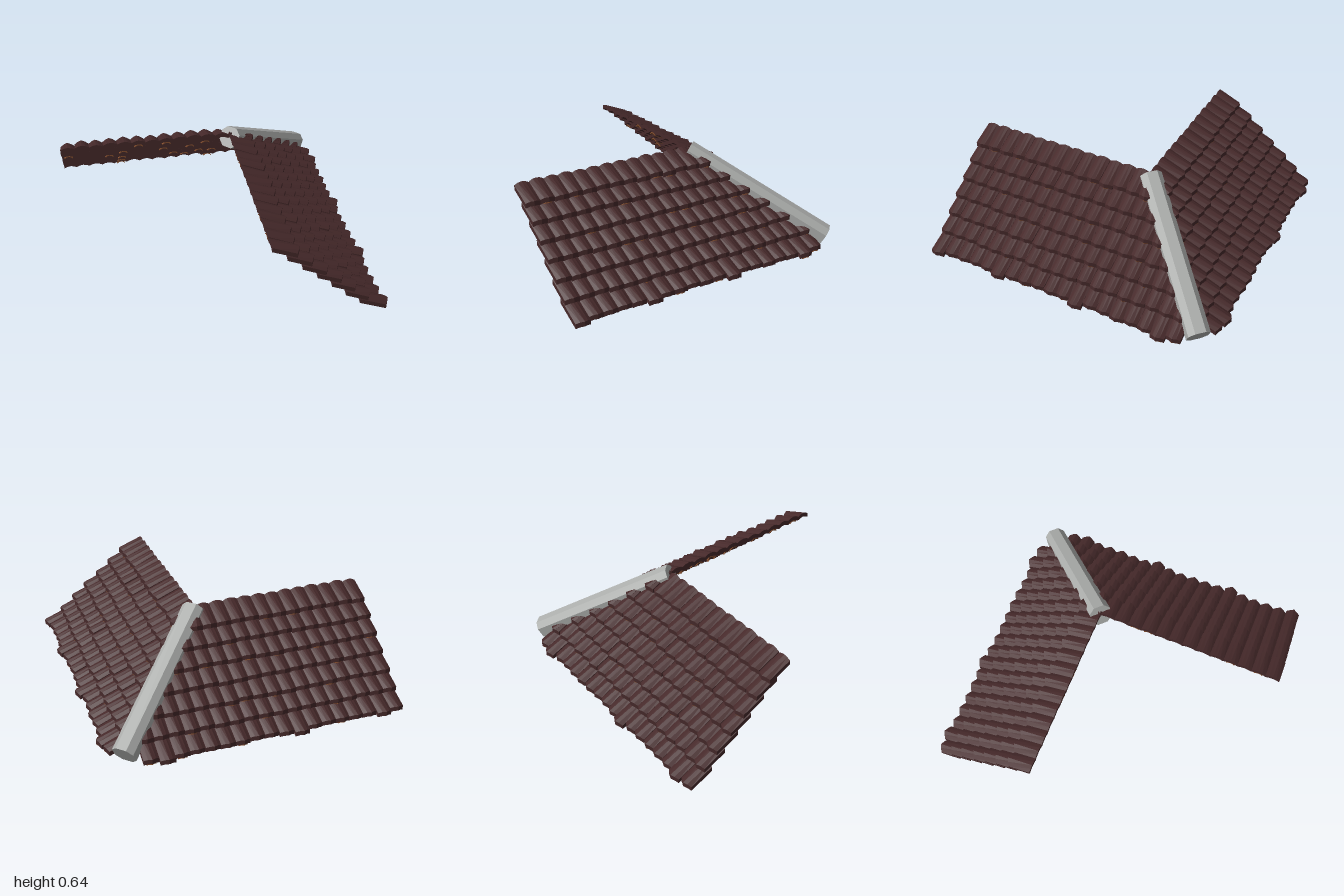
import * as THREE from 'three';

const PITCH = 0.0945, ROWS = 7, RUN = 0.095, DROP = 0.082;

// Small seeded generator for hand-laid irregularity
function seeded(seed) {
  return () => (seed = (seed * 16807) % 2147483647) / 2147483647;
}

// Appends one arched tile with a pointed lower end. map turns (across, y, downhill) into a point.
function addTile(out, map, o) {
  const ts = [-1, -0.5, 0, 0.5, 1];
  const arch = [0, 0.011, 0.015, 0.011, 0], tip = [0, 0.012, 0.023, 0.012, 0];
  const point = (k, low, top) => map(
    o.w + ts[k] * o.half,
    o.y - 0.015 + arch[k] - (low ? o.fall : 0) - (top ? 0 : o.thick),
    o.d + (low ? o.len + tip[k] : 0)
  );
  const ring = low => [
    ...ts.map((_, k) => point(k, low, false)),
    ...ts.map((_, k) => point(4 - k, low, true))
  ];
  const a = ring(false), b = ring(true);
  const e1 = new THREE.Vector3(), e2 = new THREE.Vector3();
  const tri = (p, q, r) => {
    e1.subVectors(q, p);
    e2.subVectors(r, p);
    if (e1.cross(e2).lengthSq() < 1e-14) return;
    for (const v of [p, q, r]) out.push(v.x, v.y, v.z);
  };
  const quad = (p, q, r, s) => { tri(p, q, r); tri(p, r, s); };
  for (let j = 0; j < 10; j++) {
    const n = (j + 1) % 10;
    quad(a[j], b[j], b[n], a[n]);
  }
  for (let k = 0; k < 4; k++) {
    quad(a[k], a[k + 1], a[8 - k], a[9 - k]);
    quad(b[k], b[9 - k], b[8 - k], b[k + 1]);
  }
}

function meshFrom(points, material, name) {
  const g = new THREE.BufferGeometry();
  g.setAttribute('position', new THREE.Float32BufferAttribute(points, 3));
  g.computeVertexNormals();
  const m = new THREE.Mesh(g, material);
  m.name = name;
  return m;
}

// One slope of overlapping rows, trimmed beneath the hip beam
function makeSlope(name, s, mats) {
  const rand = seeded(s.seed), tiles = [], clay = [];
  for (let row = 0; row < ROWS; row++) {
    const d = 0.23 + row * RUN, y = 0.615 - row * DROP;
    for (let col = 0; col < 21; col++) {
      const near = col * PITCH;                       // distance from the open gable
      const reach = s.span + d + 0.17;                // gable to hip at the tile's tip
      if (near > reach - (row === ROWS - 1 ? 0.24 : 0.1)) continue;
      const long = row === ROWS - 1 && s.long.includes(col);
      const tile = {
        w: s.gable + s.dir * (near + PITCH / 2), half: PITCH / 2,
        y: y + (rand() - 0.5) * 0.008, d,
        len: 0.145 + rand() * 0.01 + (long ? 0.026 : 0),
        fall: 0.062 + rand() * 0.006 + (long ? 0.006 : 0), thick: 0.03
      };
      addTile(tiles, s.map, tile);
      // Occasional bare clay lip under the tile end
      if (rand() < 0.17) {
        addTile(clay, s.map, {
          ...tile, half: PITCH * 0.3, y: tile.y - 0.03, thick: 0.007, len: tile.len - 0.002
        });
      }
    }
  }
  const g = new THREE.Group();
  g.name = name;
  g.add(meshFrom(tiles, mats.tile, name + 'Tiles'), meshFrom(clay, mats.clay, name + 'ClayLips'));
  return g;
}

// Chamfered beam laid along the hip
function makeHip(material) {
  const start = new THREE.Vector3(0.18, 0.575, -0.23), end = new THREE.Vector3(0.835, 0.066, -0.88);
  const r = 0.07, c = 0.034;
  const shape = new THREE.Shape([
    [r, c], [c, r], [-c, r], [-r, c], [-r, -c], [-c, -r], [c, -r], [r, -c]
  ].map(p => new THREE.Vector2(...p)));
  const hip = new THREE.Mesh(
    new THREE.ExtrudeGeometry(shape, { depth: start.distanceTo(end), bevelEnabled: false }), material);
  hip.position.copy(start);
  hip.lookAt(end);
  hip.name = 'hipBeam';
  return hip;
}

export function createModel() {
  const mats = {
    tile: new THREE.MeshStandardMaterial({ color: 0x472a2b }),
    clay: new THREE.MeshStandardMaterial({ color: 0x8a5230 }),
    stone: new THREE.MeshStandardMaterial({ color: 0xacaeac })
  };
  mats.tile.name = 'darkTile';
  mats.clay.name = 'bareClay';
  mats.stone.name = 'greyStone';

  const model = new THREE.Group();
  model.name = 'roofCorner';
  model.add(
    makeSlope('backSlope', {
      seed: 71, gable: -0.96, dir: 1, span: 0.91, long: [1, 7, 16],
      map: (w, y, d) => new THREE.Vector3(Math.min(w, d - 0.05), y, -d)
    }, mats),
    makeSlope('leftSlope', {
      seed: 523, gable: 1, dir: -1, span: 1, long: [0, 5, 11, 17],
      map: (w, y, d) => new THREE.Vector3(d - 0.05, y, Math.max(w, -d))
    }, mats),
    makeHip(mats.stone)
  );
  return model;
}
